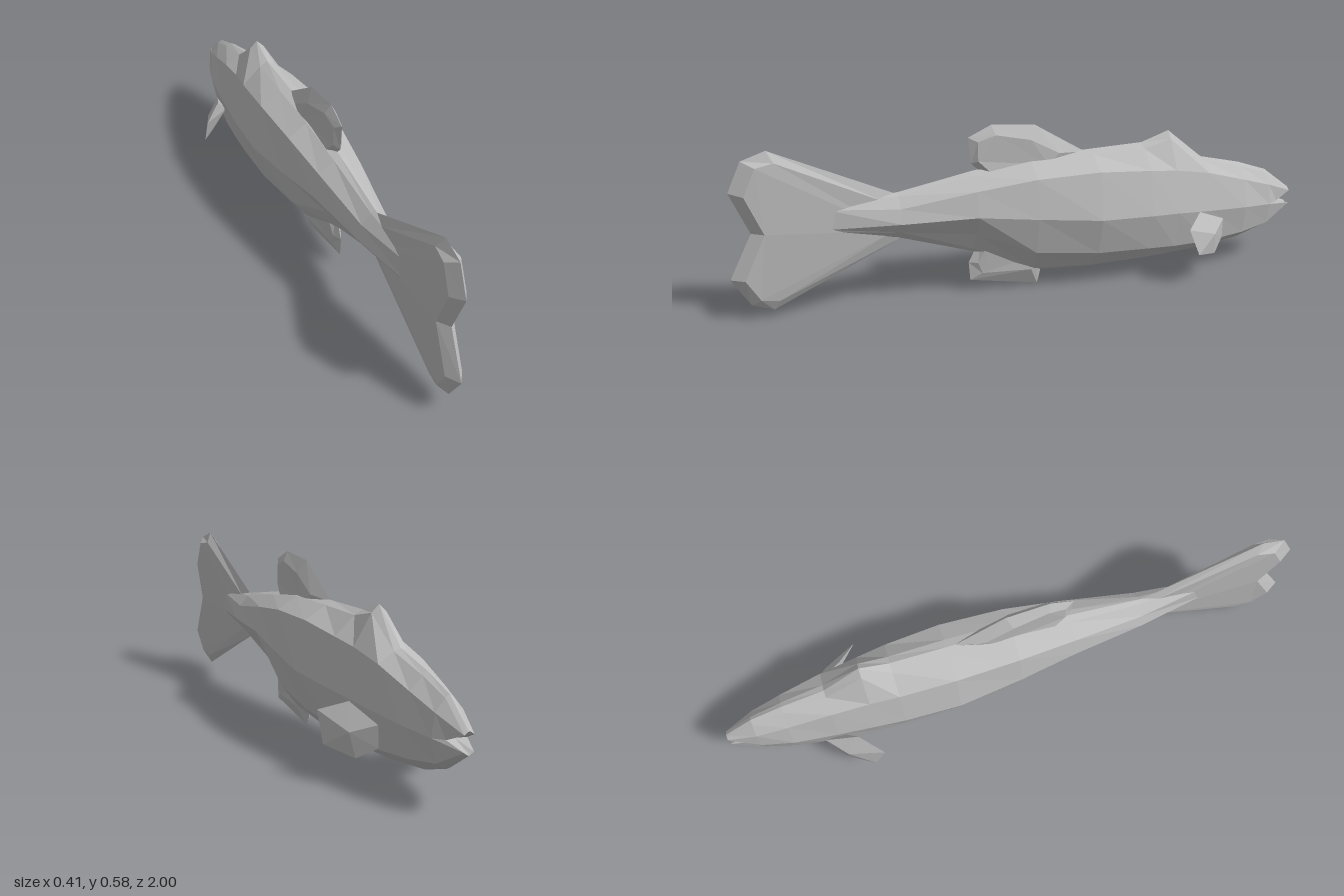
import * as THREE from 'three';
import { ConvexGeometry } from 'three/addons/geometries/ConvexGeometry.js';

const skin = new THREE.MeshStandardMaterial({ color: 0xbcbcbc, flatShading: true, side: THREE.DoubleSide });
skin.name = 'greySkin';

function toMesh(name, triangles) {
  const geo = new THREE.BufferGeometry();
  geo.setAttribute('position', new THREE.Float32BufferAttribute(triangles.flat(2), 3));
  geo.computeVertexNormals();
  const mesh = new THREE.Mesh(geo, skin);
  mesh.name = name;
  return mesh;
}

// Body sections: z, back y, shoulder x y, side x y, lower flank x y, belly y
const sections = [
  [-1.0, 0.255, 0.016, 0.245, 0.034, 0.218, 0.016, 0.197, 0.187],
  [-0.9, 0.332, 0.045, 0.285, 0.056, 0.215, 0.04, 0.14, 0.12],
  [-0.79, 0.37, 0.06, 0.32, 0.085, 0.225, 0.065, 0.125, 0.083],
  [-0.64, 0.405, 0.075, 0.365, 0.105, 0.235, 0.085, 0.115, 0.063],
  [-0.51, 0.512, 0.085, 0.39, 0.12, 0.245, 0.093, 0.115, 0.053],
  [-0.41, 0.478, 0.095, 0.402, 0.13, 0.25, 0.098, 0.12, 0.046],
  [-0.22, 0.472, 0.103, 0.418, 0.138, 0.258, 0.1, 0.127, 0.043],
  [0.0, 0.465, 0.095, 0.412, 0.118, 0.28, 0.085, 0.15, 0.055],
  [0.2, 0.435, 0.075, 0.385, 0.092, 0.3, 0.05, 0.23, 0.15],
  [0.45, 0.388, 0.045, 0.343, 0.06, 0.295, 0.035, 0.26, 0.23],
  [0.68, 0.368, 0.014, 0.355, 0.018, 0.29, 0.014, 0.28, 0.27],
];

function sectionRing([z, top, shX, shY, sideX, sideY, lowX, lowY, belly], i) {
  const half = [
    [0, top, z],
    [shX * 0.3, shY + (top - shY) * 0.8, z],
    [shX, shY, z],
    [sideX, sideY, i === 0 ? -0.94 : z], // mouth corner sits back from the lips
    [lowX, lowY, z],
    [lowX * 0.3, belly + (lowY - belly) * 0.18, z],
    [0, belly, z],
  ];
  const mirrored = half.slice(1, -1).reverse().map(([x, y, pz]) => [-x, y, pz]);
  return [...half, ...mirrored];
}

function makeBody() {
  const rings = sections.map(sectionRing);
  const n = rings[0].length;
  const mouth = [0, 0.217, -0.93];
  const tailEnd = [0, 0.32, 0.68];
  const tris = [];
  for (let k = 0; k < n; k++) {
    const m = (k + 1) % n;
    for (let i = 0; i < rings.length - 1; i++) {
      const [a, b, c, d] = [rings[i][k], rings[i][m], rings[i + 1][k], rings[i + 1][m]];
      tris.push([a, c, b], [b, c, d]);
    }
    const last = rings[rings.length - 1];
    tris.push([mouth, rings[0][k], rings[0][m]], [tailEnd, last[m], last[k]]);
  }
  return toMesh('body', tris);
}

// Upright fin: sharp rim [z, y], bevelled to raised points [z, y, half thickness]
function makeFin(name, rim, raised) {
  const tris = [];
  const flat = raised.map(([z, y]) => new THREE.Vector2(z, y));
  const faces = THREE.ShapeUtils.triangulateShape(flat, []);
  for (const s of [1, -1]) {
    const inner = raised.map(([z, y, w]) => [s * w, y, z]);
    const outer = rim.map(([z, y]) => [0, y, z]);
    const add = (a, b, c) => {
      const nx = (b[1] - a[1]) * (c[2] - a[2]) - (b[2] - a[2]) * (c[1] - a[1]);
      tris.push(nx * s > 0 ? [a, b, c] : [a, c, b]);
    };
    faces.forEach(([a, b, c]) => add(inner[a], inner[b], inner[c]));
    rim.forEach((_, i) => {
      const j = (i + 1) % rim.length;
      add(outer[i], outer[j], inner[i]);
      add(outer[j], inner[j], inner[i]);
    });
  }
  return toMesh(name, tris);
}

// Side fin, swept back and outwards
function makePectoralFin(side) {
  const pts = [
    [0.205, 0.213, -0.51], [0.205, 0.117, -0.55], [0.145, 0.092, -0.64],
    [0.098, 0.13, -0.69], [0.1, 0.2, -0.69], [0.136, 0.248, -0.58],
    [0.162, 0.17, -0.63], [0.09, 0.18, -0.63],
  ].map(([x, y, z]) => new THREE.Vector3(side * x, y, z));
  const mesh = new THREE.Mesh(new ConvexGeometry(pts), skin);
  mesh.name = side > 0 ? 'leftPectoralFin' : 'rightPectoralFin';
  return mesh;
}

export function createModel() {
  const fish = new THREE.Group();
  fish.name = 'fish';
  fish.add(makeBody());

  // Forked tail with a thick rear edge
  fish.add(makeFin('tailFin',
    [[0.46, 0.385], [0.86, 0.567], [0.94, 0.54], [0.985, 0.44], [0.925, 0.3], [1.0, 0.15], [0.94, 0.055], [0.87, 0.03], [0.43, 0.235]],
    [[0.5, 0.365, 0.012], [0.84, 0.53, 0.02], [0.9, 0.52, 0.027], [0.94, 0.43, 0.028], [0.885, 0.3, 0.028], [0.955, 0.15, 0.028], [0.91, 0.075, 0.02], [0.85, 0.065, 0.015], [0.47, 0.26, 0.012]]));

  // Fin on the back
  fish.add(makeFin('dorsalFin',
    [[-0.2, 0.465], [-0.02, 0.575], [0.13, 0.587], [0.21, 0.55], [0.2, 0.46], [0.15, 0.41], [-0.1, 0.42]],
    [[-0.1, 0.475, 0.026], [0.0, 0.53, 0.026], [0.12, 0.555, 0.019], [0.18, 0.535, 0.014], [0.18, 0.47, 0.016], [0.14, 0.43, 0.024], [-0.06, 0.44, 0.028]]));

  // Fin under the rear belly
  fish.add(makeFin('analFin',
    [[-0.06, 0.12], [-0.03, 0.003], [0.21, 0.045], [0.215, 0.11], [0.17, 0.2], [0.0, 0.2]],
    [[-0.02, 0.12, 0.03], [0.0, 0.068, 0.028], [0.17, 0.07, 0.012], [0.185, 0.11, 0.014], [0.15, 0.18, 0.024], [0.02, 0.18, 0.03]]));

  fish.add(makePectoralFin(1), makePectoralFin(-1));
  return fish;
}
